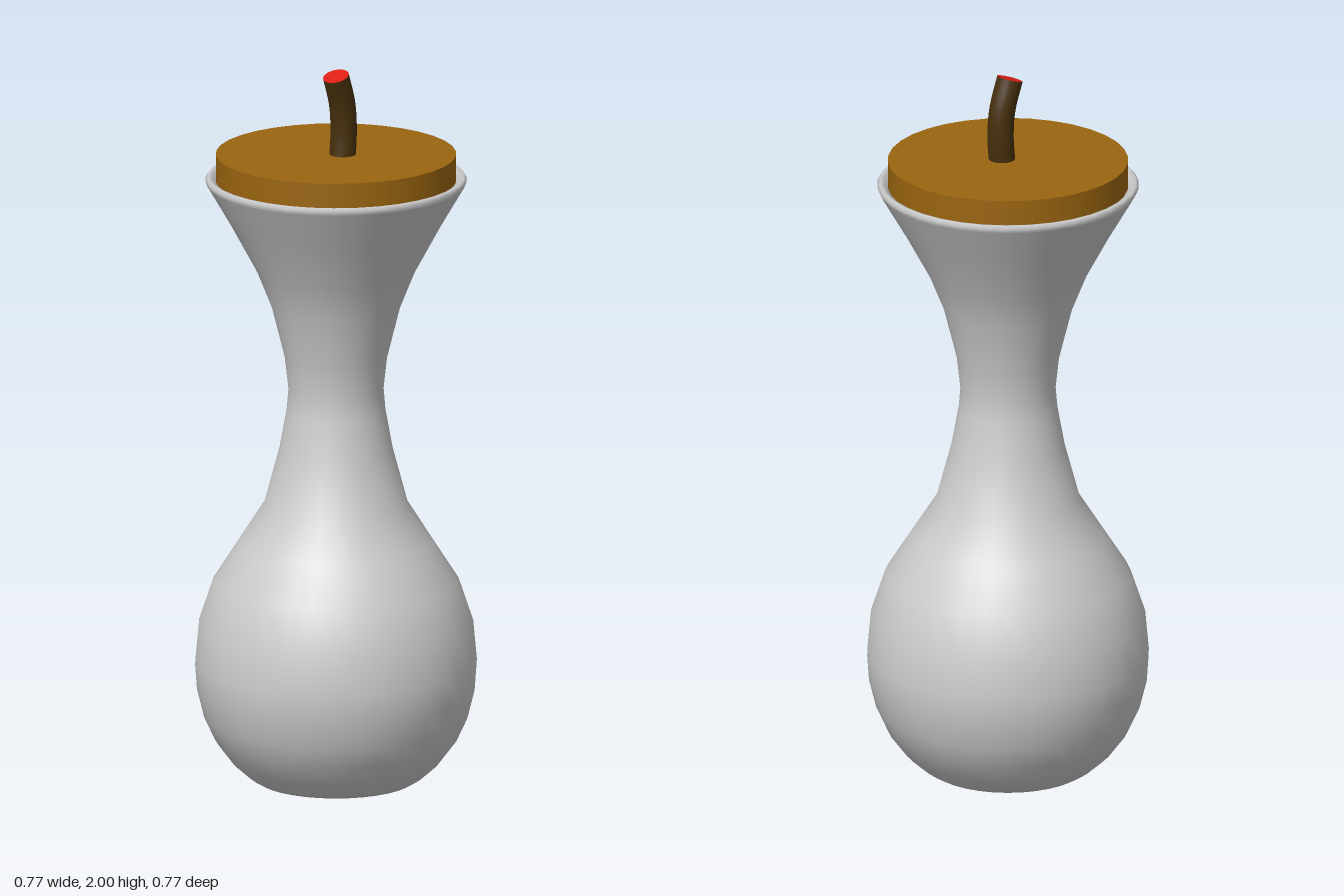
import * as THREE from 'three';

const SEGMENTS = 34;

function lathe(name, points, material) {
  const profile = points.map(([r, y]) => new THREE.Vector2(r, y));
  const mesh = new THREE.Mesh(new THREE.LatheGeometry(profile, SEGMENTS), material);
  mesh.name = name;
  return mesh;
}

export function createModel() {
  const group = new THREE.Group();
  group.name = 'stopperedVase';

  const ceramic = new THREE.MeshStandardMaterial({ color: 0xcccccc, side: THREE.DoubleSide });
  const cork = new THREE.MeshStandardMaterial({ color: 0x9a6510 });
  const bark = new THREE.MeshStandardMaterial({ color: 0x46300c });
  const red = new THREE.MeshStandardMaterial({ color: 0xdd1e14 });

  // Vase: round belly, narrow neck, flared mouth with a rolled lip and an inner wall
  group.add(lathe('vase', [
    [0, 0], [0.215, 0], [0.24, 0.015], [0.285, 0.055], [0.33, 0.115], [0.36, 0.18],
    [0.38, 0.26], [0.385, 0.33], [0.375, 0.44], [0.335, 0.56],
    [0.265, 0.67], [0.195, 0.78], [0.155, 0.93], [0.135, 1.04], [0.13, 1.1],
    [0.14, 1.19], [0.175, 1.33], [0.215, 1.43], [0.285, 1.56],
    [0.352, 1.675], [0.357, 1.688], [0.35, 1.697], [0.338, 1.694],
    [0.322, 1.67], [0.255, 1.55], [0.19, 1.43], [0.15, 1.32], [0, 1.3],
  ], ceramic));

  // Lid: flat disc resting in the mouth
  const lid = new THREE.Mesh(new THREE.CylinderGeometry(0.328, 0.328, 0.075, SEGMENTS), cork);
  lid.name = 'lid';
  lid.position.y = 1.7225;
  group.add(lid);

  // Stem: short bent tube leaning to the right
  const path = new THREE.CatmullRomCurve3([
    [0.005, 1.74], [0.012, 1.82], [0.006, 1.9], [-0.022, 1.985],
  ].map(([x, y]) => new THREE.Vector3(x, y, 0.017)));
  const stem = new THREE.Mesh(new THREE.TubeGeometry(path, 12, 0.036, 20), bark);
  stem.name = 'stem';
  group.add(stem);

  // Red cut end of the stem, square to its path
  const tip = new THREE.Mesh(new THREE.CircleGeometry(0.036, 20), red);
  tip.name = 'stemTip';
  tip.position.copy(path.getPoint(1));
  tip.quaternion.setFromUnitVectors(new THREE.Vector3(0, 0, 1), path.getTangent(1));
  group.add(tip);

  return group;
}
